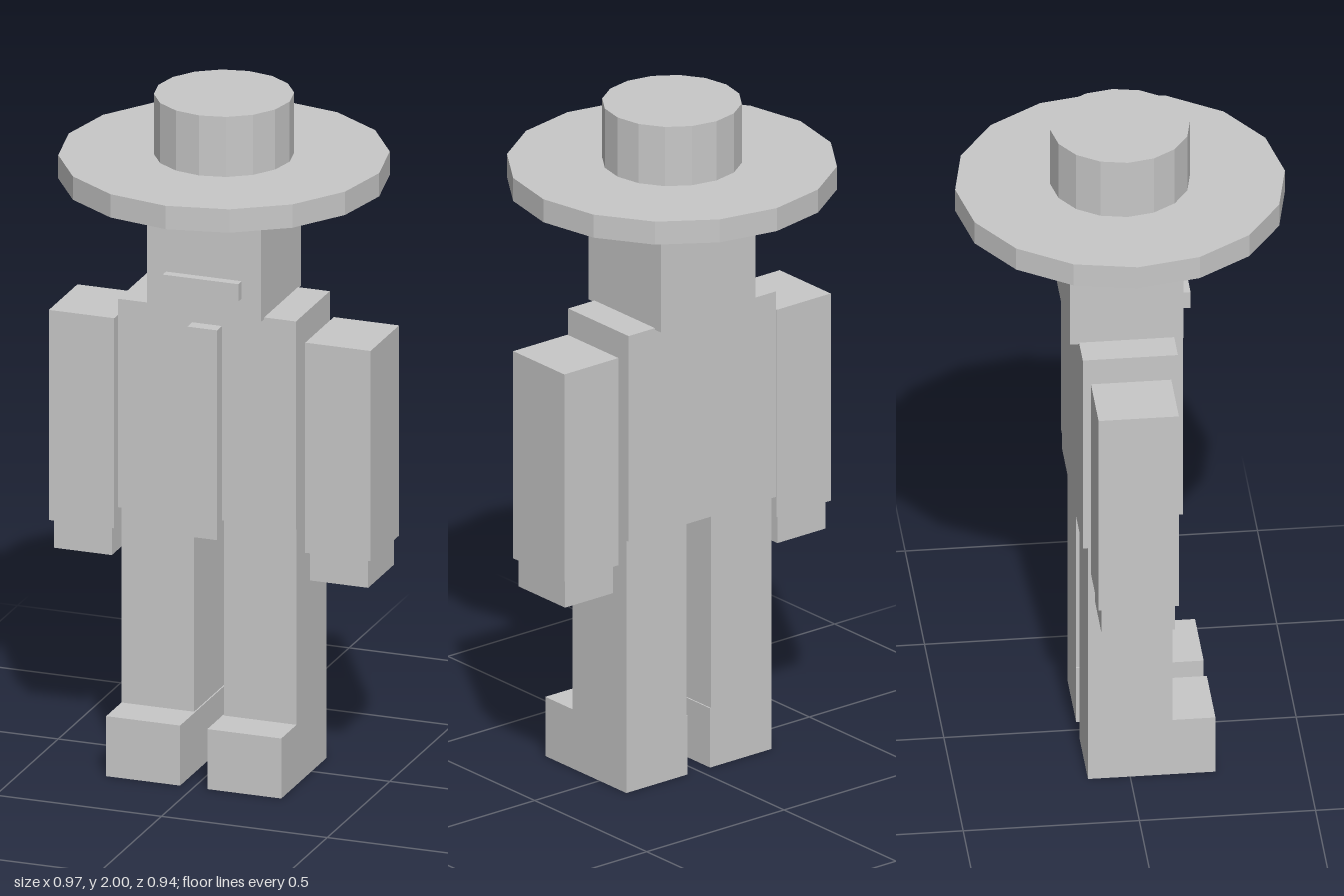
import * as THREE from 'three';

export function createModel() {
  const model = new THREE.Group();
  const grey = new THREE.MeshStandardMaterial({ color: 0xc8c8c8 });
  grey.name = 'grey';

  const add = (name, geometry, x, y, z) => {
    const mesh = new THREE.Mesh(geometry, grey);
    mesh.name = name;
    mesh.position.set(x, y, z);
    model.add(mesh);
  };

  // Box from its lower and upper bounds on each axis
  const box = (name, [x0, x1], [y0, y1], [z0, z1]) =>
    add(name, new THREE.BoxGeometry(x1 - x0, y1 - y0, z1 - z0),
      (x0 + x1) / 2, (y0 + y1) / 2, (z0 + z1) / 2);

  // Sixteen-sided faceted disc
  const disc = (name, radius, y0, y1) => {
    const geometry = new THREE.CylinderGeometry(radius, radius, y1 - y0, 16).toNonIndexed();
    geometry.computeVertexNormals();
    add(name, geometry, 0, (y0 + y1) / 2, 0);
  };

  // Hat
  disc('hatBrim', 0.468, 1.75, 1.82);
  disc('hatCrown', 0.198, 1.82, 2);

  // Head and moustache
  box('head', [-0.172, 0.172], [1.39, 1.75], [-0.161, 0.161]);
  box('moustache', [-0.114, 0.114], [1.453, 1.505], [0.15, 0.188]);

  // Torso and tie
  box('torso', [-0.268, 0.268], [0.77, 1.395], [-0.135, 0.135]);
  box('tie', [-0.045, 0.045], [0.724, 1.353], [0.13, 0.174]);

  // Paired limbs
  for (const [side, s] of [['left', 1], ['right', -1]]) {
    const limb = (part, [x0, x1], y, z) =>
      box(side + part, s > 0 ? [x0, x1] : [-x1, -x0], y, z);
    limb('Arm', [0.288, 0.485], [0.697, 1.327], [-0.114, 0.114]);
    limb('Hand', [0.299, 0.474], [0.612, 0.697], [-0.104, 0.104]);
    limb('Leg', [0.045, 0.264], [0.18, 0.77], [-0.12, 0.12]);
    limb('Shoe', [0.041, 0.264], [0, 0.18], [-0.12, 0.242]);
  }

  return model;
}
